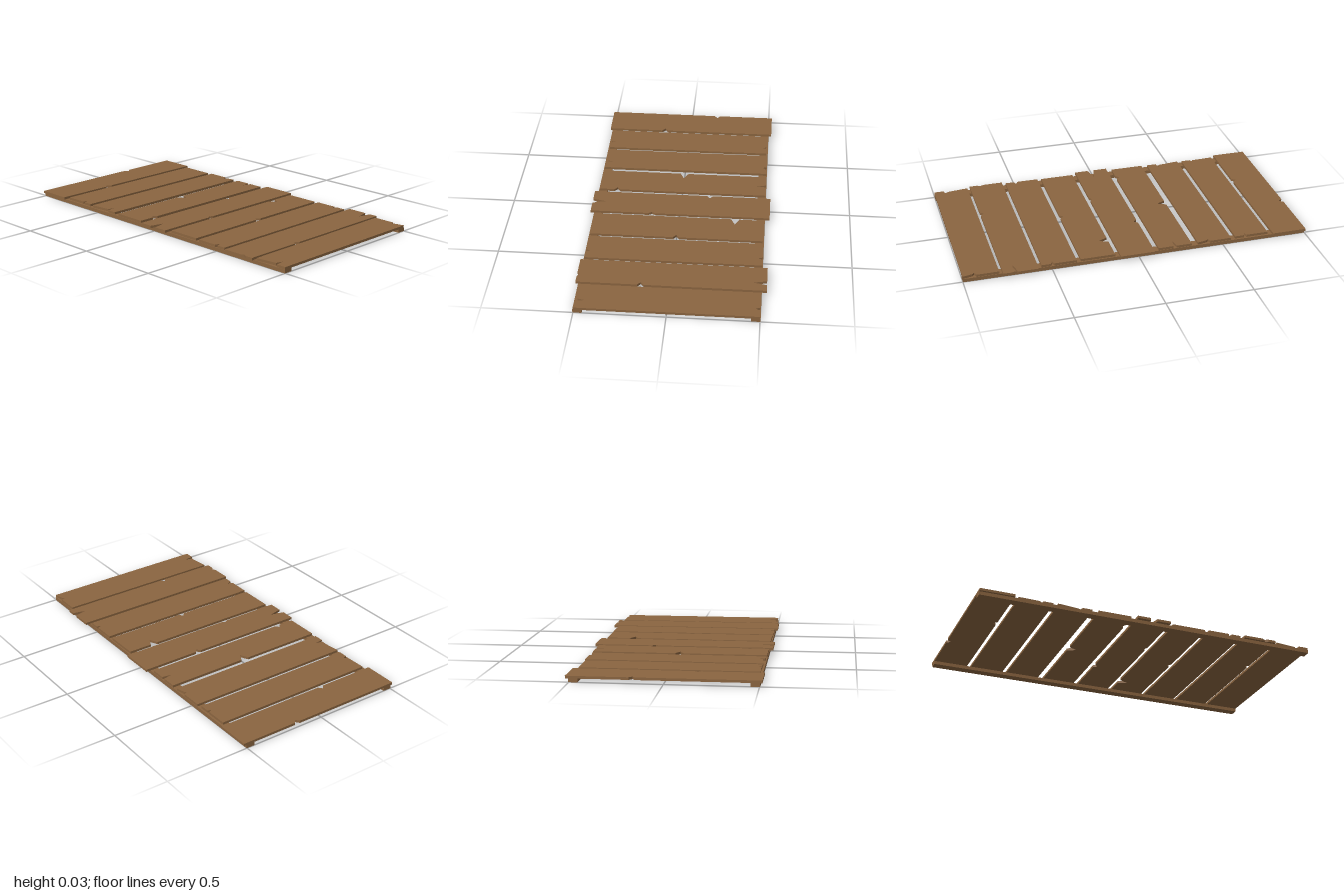
import * as THREE from 'three';

const TOP = 0.034, RAIL_TOP = 0.02;

// Each plank: x and z extents, plus an optional V notch per edge:
// [position along the edge, depth, half width, drop of the worn lip after the notch]
const PLANKS = [
  { x: [-1, -0.8], z: [-0.52, 0.515], left: [-0.165, 0.022, 0.018], right: [0.16, 0.022, 0.02] },
  { x: [-0.775, -0.577], z: [-0.492, 0.492], back: [-0.64, 0.022, 0.008], front: [-0.64, 0.03, 0.008, 0.004] },
  { x: [-0.55, -0.35], z: [-0.5, 0.497], back: [-0.415, 0.022, 0.01, 0.012], front: [-0.415, 0.05, 0.008, 0.015] },
  { x: [-0.313, -0.117], z: [-0.5, 0.5], back: [-0.214, 0.055, 0.01], left: [0, 0.05, 0.024], right: [0.39, 0.02, 0.018] },
  { x: [-0.087, 0.112], z: [-0.53, 0.523], left: [-0.17, 0.022, 0.018], right: [0.16, 0.012, 0.02], front: [0.012, 0.08, 0.02] },
  { x: [0.137, 0.336], z: [-0.496, 0.496], left: [-0.33, 0.05, 0.024], right: [0, 0.022, 0.018] },
  { x: [0.36, 0.56], z: [-0.5, 0.5], back: [0.497, 0.026, 0.01], front: [0.497, 0.03, 0.01] },
  { x: [0.58, 0.78], z: [-0.53, 0.517], back: [0.714, 0.075, 0.017], right: [0.16, 0.022, 0.018], front: [0.714, 0.01, 0.02] },
  { x: [0.797, 1], z: [-0.5, 0.5], back: [0.933, 0.025, 0.01, 0.012], front: [0.933, 0.06, 0.01, 0.015] },
];

// Plan outline of a plank, walked back, right, front, left
function plankGeometry({ x: [x0, x1], z: [z0, z1], back, right, front, left }) {
  const pts = [];
  const edge = (corner, notch, dir, place) => {
    pts.push(new THREE.Vector2(...corner));
    if (!notch) return;
    const [at, depth, half, drop = 0] = notch;
    for (const [offset, inset] of [[-half, 0], [0, depth], [half, drop]]) {
      pts.push(new THREE.Vector2(...place(at + dir * offset, inset)));
    }
  };
  edge([x0, z0], back, 1, (a, d) => [a, z0 + d]);
  edge([x1, z0], right, 1, (a, d) => [x1 - d, a]);
  edge([x1, z1], front, -1, (a, d) => [a, z1 - d]);
  edge([x0, z1], left, -1, (a, d) => [x0 + d, a]);
  const geometry = new THREE.ExtrudeGeometry(new THREE.Shape(pts), {
    depth: TOP - RAIL_TOP, bevelEnabled: false,
  });
  // Lay flat: outline y becomes z, thickness runs down from the top
  return geometry.rotateX(Math.PI / 2).translate(0, TOP, 0);
}

export function createModel() {
  const group = new THREE.Group();
  group.name = 'plankPlatform';
  const wood = new THREE.MeshStandardMaterial({ color: 0x8b6540 });
  wood.name = 'brown wood';

  // Notched deck planks
  PLANKS.forEach((plank, i) => {
    const mesh = new THREE.Mesh(plankGeometry(plank), wood);
    mesh.name = `plank${i + 1}`;
    group.add(mesh);
  });

  // Support rails under the front and back ends
  for (const side of [1, -1]) {
    const rail = new THREE.Mesh(new THREE.BoxGeometry(2, RAIL_TOP, 0.05), wood);
    rail.position.set(0, RAIL_TOP / 2, side * 0.478);
    rail.name = side > 0 ? 'frontRail' : 'backRail';
    group.add(rail);
  }
  return group;
}
